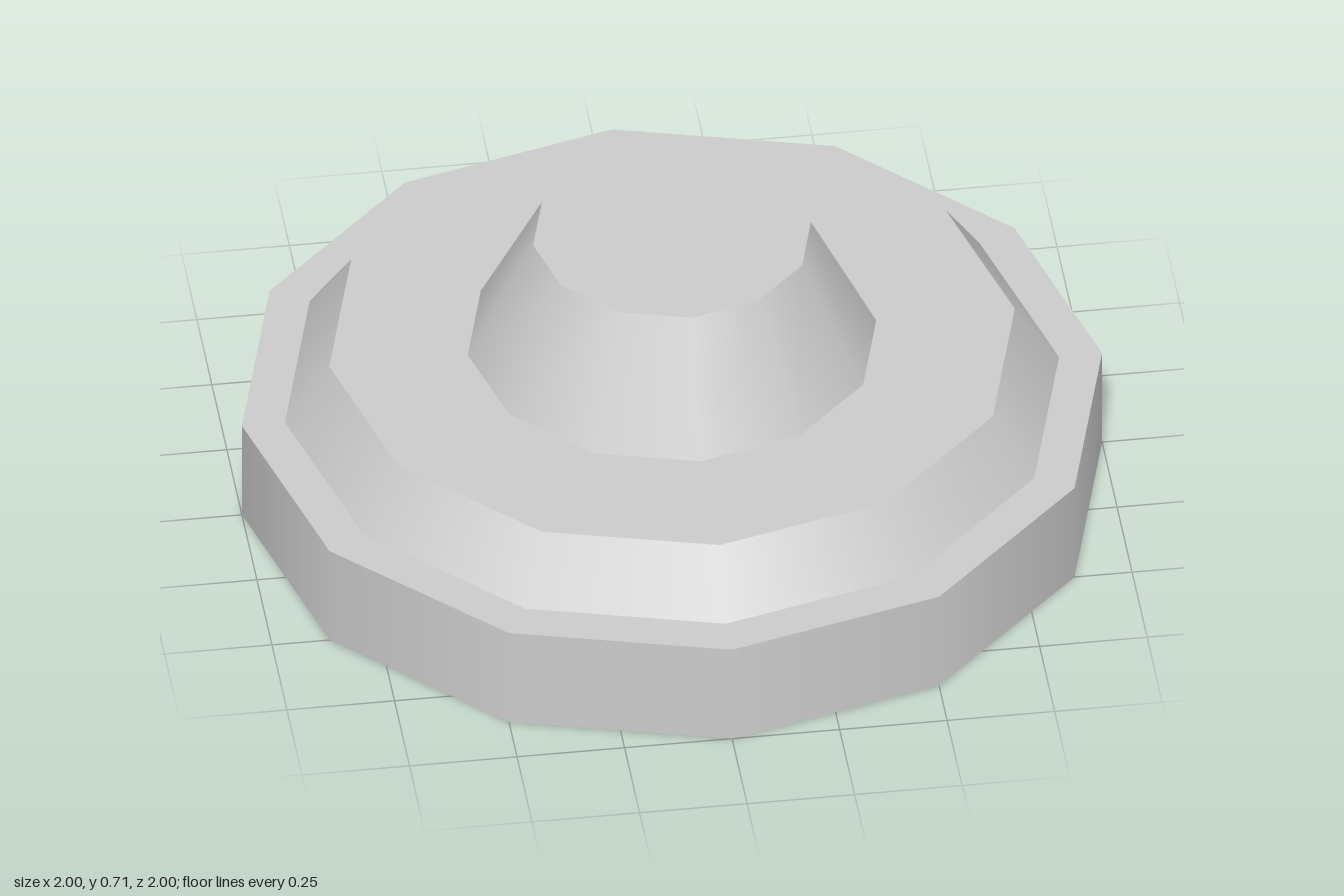
import * as THREE from 'three';

const SIDES = 12;

export function createModel() {
  const group = new THREE.Group();
  const material = new THREE.MeshStandardMaterial({ color: 0xcccccc });

  // Stacked twelve-sided tiers: name, bottom radius, top radius, bottom y, top y
  const tiers = [
    ['basePlate', 1, 1, 0, 0.257],
    ['bevelledStep', 0.9, 0.797, 0.257, 0.407],
    ['taperedKnob', 0.475, 0.323, 0.407, 0.708],
  ];

  for (const [name, rBottom, rTop, y0, y1] of tiers) {
    const geometry = new THREE.CylinderGeometry(rTop, rBottom, y1 - y0, SIDES);
    const mesh = new THREE.Mesh(geometry, material);
    mesh.name = name;
    mesh.position.y = (y0 + y1) / 2;
    group.add(mesh);
  }

  return group;
}
